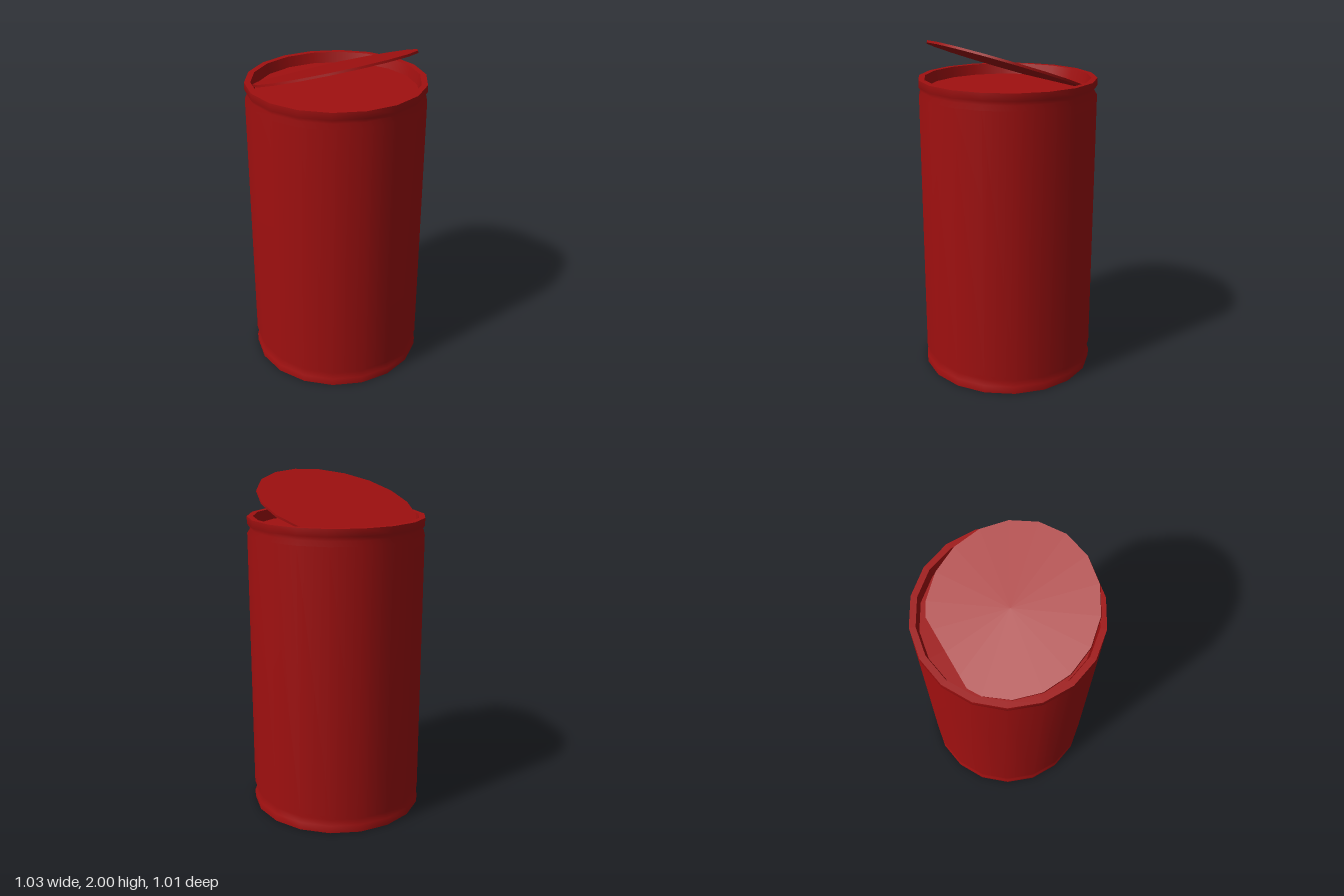
import * as THREE from 'three';

const SIDES = 18;
const START = Math.PI / 2; // puts a corner on the x axis

export function createModel() {
  const group = new THREE.Group();
  const red = new THREE.MeshStandardMaterial({ color: 0xa01010, side: THREE.DoubleSide });

  // Each band is its own lathe, so edges between bands stay sharp
  const band = (name, points) => {
    const profile = points.map(([r, y]) => new THREE.Vector2(r, y));
    const mesh = new THREE.Mesh(new THREE.LatheGeometry(profile, SIDES, START), red);
    mesh.name = name;
    group.add(mesh);
  };

  const R = 0.515, NECK = 0.497, H = 1.772;

  // Recessed base
  band('basePlate', [[0, 0.06], [0.467, 0.06]]);
  band('baseInnerWall', [[0.467, 0.06], [0.48, 0]]);
  band('baseRim', [[0.48, 0], [R, 0]]);

  // Outer wall with a groove near each end
  band('body', [
    [R, 0], [R, 0.045], [NECK, 0.075], [R, 0.105],
    [R, H - 0.095], [NECK, H - 0.068], [R, H - 0.042], [R, H],
  ]);

  // Recessed top
  band('topRim', [[R, H], [0.48, H]]);
  band('topInnerWall', [[0.48, H], [0.467, 1.71]]);
  band('topPlate', [[0.467, 1.71], [0, 1.71]]);

  // Thin lid, hinged open towards +x
  const lid = new THREE.Mesh(
    new THREE.CylinderGeometry(0.469, 0.469, 0.013, SIDES, 1, false, START), red);
  lid.name = 'lid';
  lid.position.set(0.008, 1.838, 0.012);
  lid.rotation.z = THREE.MathUtils.degToRad(19.4);
  group.add(lid);

  return group;
}
